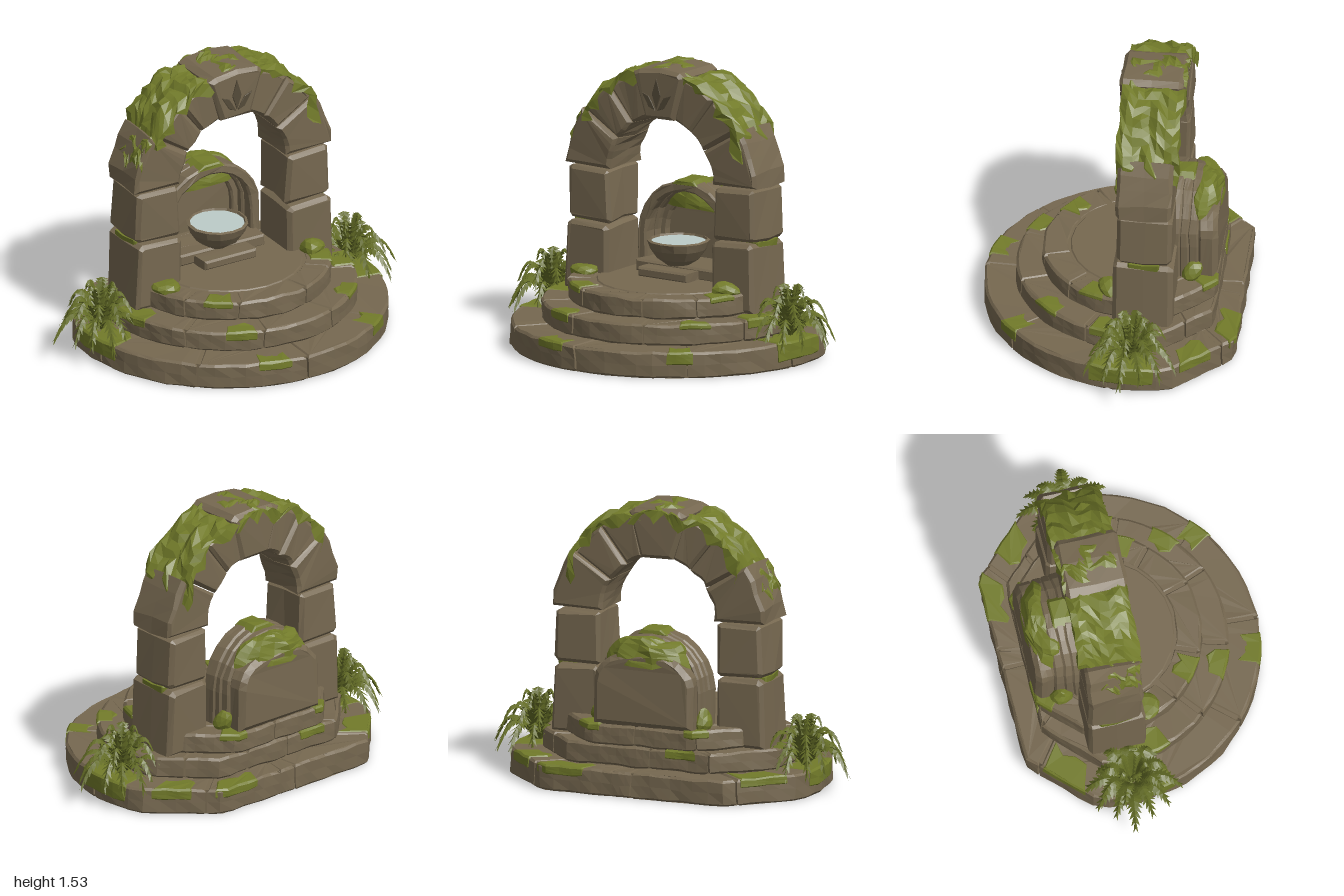
import * as THREE from 'three';

const mat = (name, color, side = THREE.FrontSide) => {
  const m = new THREE.MeshStandardMaterial({ color, side });
  m.name = name;
  return m;
};
const rad = THREE.MathUtils.degToRad;

// Smooth repeatable noise, about -1..1
const noise = (x, y, z) => Math.sin(x * 23.1 + y * 11.7 + 1.3) * Math.sin(y * 19.3 - z * 17.9 + 0.7) +
  0.5 * Math.sin(x * 41 + z * 37 + y * 29);

// Push vertices about by a rule of position, then facet
function weather(geo, amount) {
  const g = geo.index ? geo.toNonIndexed() : geo;
  const p = g.attributes.position;
  for (let i = 0; i < p.count; i++) {
    const x = p.getX(i), y = p.getY(i), z = p.getZ(i);
    p.setXYZ(i, x + amount * noise(x, y, z), Math.max(0, y + amount * noise(y, z, x)), z + amount * noise(z, x, y));
  }
  g.computeVertexNormals();
  return g;
}

// Bevelled slab: outline in x,y, reaching from z0 to z1
function slab(points, z0, z1, bevel = 0.014, hole = null) {
  const shape = new THREE.Shape(points.map(([x, y]) => new THREE.Vector2(x, y)));
  if (hole) shape.holes.push(new THREE.Path(hole.map(([x, y]) => new THREE.Vector2(x, y))));
  const g = new THREE.ExtrudeGeometry(shape, {
    depth: z1 - z0 - 2 * bevel, steps: 2, bevelEnabled: bevel > 0, bevelThickness: bevel,
    bevelSize: bevel, bevelOffset: -bevel, bevelSegments: 1,
  });
  return g.translate(0, 0, z0 + bevel);
}
const upright = (geo) => geo.rotateX(-Math.PI / 2);

// Stepped platform: round in front, cut flat at the back with cut corners
const CX = 0.027, CZ = -0.17;
const TIERS = [
  { R: 0.862, back: 0.52, cut: 0.735, y0: 0, y1: 0.14, k: 0.74, joints: [-78, -38, 8, 50, 92, 132, 172, 218, 270, 282] },
  { R: 0.695, back: 0.4, cut: 0.575, y0: 0.14, y1: 0.252, k: 0.72, joints: [-60, -25, 22, 68, 105, 140, 180, 225, 262, 300] },
  { R: 0.555, back: 0.4, cut: 0.5, y0: 0.252, y1: 0.36, k: 0.74, joints: [-50, 0, 42, 72, 115, 145, 185, 230, 275, 310] },
];
function rim(t, a, off = 0, k = 1) {
  const c = Math.cos(a), s = Math.sin(a);
  let r = t.R + off;
  if (s < 0) {
    r = Math.min(r, (t.back + off) / -s, (t.cut + off) / ((Math.abs(c) - s) * Math.SQRT1_2));
  }
  return [CX + c * r * k, -(CZ + s * r * k)];
}
function sector(t, d0, d1, k, y0, y1, off, bevel, ragged = 0) {
  const n = Math.max(3, Math.ceil((d1 - d0) / 6)), outer = [], inner = [];
  for (let i = 0; i <= n; i++) {
    const a = rad(d0 + (d1 - d0) * i / n);
    outer.push(rim(t, a, off));
    inner.unshift(rim(t, a, off, k + ragged * Math.sin(i * 2.6 + d0)));
  }
  return upright(slab([...outer, ...inner], y0, y1, bevel));
}

// Moss blanket over the arch's outer face, spilling over both edges
function mossBlanket(a0, a1, R, thick, zc, half) {
  const g = new THREE.PlaneGeometry(1, 1, 12, 10), p = g.attributes.position;
  for (let i = 0; i < p.count; i++) {
    const u = p.getX(i) + 0.5, s = p.getY(i) * 2;
    const a = rad(a0 + (a1 - a0) * u) + 0.06 * Math.sin(s * 7 + u * 3);
    const spill = Math.max(0, Math.abs(s) - 0.75) * 4;
    const swell = Math.min(1, 5 * Math.min(u, 1 - u));
    const r = R - 0.012 + thick * swell * (0.65 + 0.35 * noise(u * 1.1, s * 0.5, a)) -
      spill * (0.05 + 0.03 * Math.sin(u * 19));
    p.setXYZ(i, ARCH_X + Math.cos(a) * r, ARCH_Y + Math.sin(a) * r,
      zc + Math.max(-1, Math.min(1, s * 1.3)) * half);
  }
  return weather(g, 0.009);
}
const ARCH_X = 0.015, ARCH_Y = 0.92;

// Fern made of arching fronds with paired leaflets
function fernGeometry(seed) {
  const v = [];
  const frond = (ang, reach, rise, droop, width) => {
    const dir = new THREE.Vector3(Math.cos(ang), 0, Math.sin(ang));
    const side = new THREE.Vector3(-dir.z, 0, dir.x);
    const at = (t) => dir.clone().multiplyScalar(0.015 + reach * t).setY(rise * Math.sin(t * 2.1) - droop * t * t * t);
    const pairs = 11;
    for (let i = 1; i <= pairs; i++) {
      const t = i / pairs, a = at(t - 0.09), b = at(t + 0.04);
      const w = width * Math.sin(0.35 + t * 2.5);
      for (const sgn of [-1, 1]) {
        const tip = at(t + 0.09).addScaledVector(side, sgn * w).add(new THREE.Vector3(0, -w * 0.35, 0));
        const mid = a.clone().lerp(tip, 0.55).addScaledVector(dir, -0.008);
        const tris = sgn > 0 ? [a, mid, b, mid, tip, b] : [a, b, mid, mid, b, tip];
        tris.forEach((q) => v.push(q.x, q.y, q.z));
      }
    }
  };
  for (let i = 0; i < 13; i++) frond(i * Math.PI * 2 / 13 + seed, 0.21 + 0.03 * Math.sin(i * 2.3 + seed), 0.15, 0.12, 0.046);
  for (let i = 0; i < 9; i++) frond(i * Math.PI * 2 / 9 + seed * 2, 0.16 + 0.02 * Math.sin(i * 3), 0.22, 0.07, 0.042);
  for (let i = 0; i < 5; i++) frond(i * Math.PI * 2 / 5 + seed, 0.07, 0.27, 0, 0.036);
  const g = new THREE.BufferGeometry();
  g.setAttribute('position', new THREE.Float32BufferAttribute(v, 3));
  g.computeVertexNormals();
  return g;
}

export function createModel() {
  const model = new THREE.Group();
  const stone = mat('stone', 0x766850), carved = mat('carvedStone', 0x544a38);
  const moss = mat('moss', 0x727b2a, THREE.DoubleSide), leaf = mat('fernLeaf', 0x626b25, THREE.DoubleSide);
  const water = mat('water', 0xbccbc8);
  const add = (name, geo, material, parent = model) => {
    const m = new THREE.Mesh(geo, material);
    m.name = name;
    parent.add(m);
    return m;
  };

  // Tiers: solid core plus a ring of separate stones
  TIERS.forEach((t, i) => {
    const tier = new THREE.Group();
    tier.name = 'step' + (i + 1);
    model.add(tier);
    const ring = Array.from({ length: 72 }, (_, j) => rim(t, rad(j * 5), -0.018));
    add('stepCore', upright(slab(ring, t.y0, t.y1 - 0.006, 0)), stone, tier);
    t.joints.forEach((d, j) => {
      const end = j + 1 < t.joints.length ? t.joints[j + 1] : t.joints[0] + 360;
      add('stepStone', weather(sector(t, d + 0.4, end - 0.4, t.k, t.y0, t.y1, 0, 0.012), 0.004), stone, tier);
    });
  });

  // Moss on the steps: tier, start and end angle, inner ratio, depth down the side
  [[0, 352, 375, 0.8, 0.1], [0, 48, 57, 0.86, 0.07], [0, 98, 110, 0.88, 0.05], [0, 165, 187, 0.8, 0.09],
    [0, 198, 216, 0.8, 0.05], [0, 298, 318, 0.8, 0.05], [0, 328, 342, 0.82, 0.06], [1, 38, 52, 0.86, 0.03],
    [1, 108, 122, 0.86, 0.05], [1, 5, 20, 0.82, 0.05], [1, 160, 178, 0.82, 0.05], [1, 232, 250, 0.8, 0.05],
    [2, 118, 134, 0.8, 0.04], [2, 20, 34, 0.78, 0.03], [2, 300, 318, 0.75, 0.04], [2, 222, 238, 0.75, 0.04],
  ].forEach(([i, d0, d1, k, h]) => {
    const t = TIERS[i];
    add('stepMoss', weather(sector(t, d0, d1, k, t.y1 - h, t.y1 + 0.005, 0.005, 0.01, 0.035), 0.004), moss);
  });

  // Pillars
  for (const s of [-1, 1]) {
    const at = (x, y) => [ARCH_X + s * x, y];
    add('pillarLower', weather(slab([at(0.335, 0.25), at(0.615, 0.25), at(0.6, 0.6), at(0.575, 0.618), at(0.36, 0.618), at(0.337, 0.6)], -0.365, -0.05, 0.02), 0.006), stone);
    add('pillarUpper', weather(slab([at(0.335, 0.64), at(0.35, 0.628), at(0.585, 0.628), at(0.605, 0.65), at(0.592, 0.9), at(0.575, 0.91), at(0.355, 0.91), at(0.342, 0.9)], -0.36, -0.07, 0.02), 0.006), stone);
    add('pillarMoss', weather(slab([at(0.47, 0.6), at(0.597, 0.585), at(0.6, 0.63), at(0.48, 0.632)], -0.3, -0.12, 0.008), 0.006), moss);
    // Mossy rubble at the pillar foot
    const lump = new THREE.IcosahedronGeometry(0.08, 1).scale(1, 0.5, 0.9).translate(ARCH_X + s * 0.46, 0.37, -0.02);
    add('footMoss', weather(lump, 0.012), moss);

    // Arch stones
    const cuts = [0, 32, 54, 76];
    for (let i = 0; i < 3; i++) {
      const pts = [], n = 4, R = i ? 0.565 : 0.6;
      const polar = (r, d) => at(r * Math.cos(rad(d)), ARCH_Y + r * Math.sin(rad(d)));
      const a = cuts[i] + 0.4, b = cuts[i + 1] - 0.4;
      for (let j = 0; j <= n; j++) pts.push(polar(R + (i || j > 1 ? 0 : 0.012), a + (b - a) * j / n));
      for (let j = n; j >= 0; j--) pts.push(polar(0.325, a + (b - a) * j / n));
      add('archStone', weather(slab(pts, -0.36, -0.065, 0.018), 0.006), stone);
    }
  }
  add('archMossLeft', mossBlanket(17, 78, 0.575, 0.05, -0.22, 0.165), moss);
  add('archMossRight', mossBlanket(102, 152, 0.572, 0.045, -0.22, 0.165), moss);
  add('archMossPatch', mossBlanket(150, 170, 0.6, 0.02, -0.18, 0.11), moss);

  // Keystone with carved leaves and a moss cap
  add('keystone', weather(slab([[-0.075, 1.235], [0.11, 1.235], [0.18, 1.475], [0.15, 1.5], [0.03, 1.51], [-0.11, 1.497], [-0.15, 1.475]], -0.375, -0.038, 0.02), 0.004), stone);
  add('keystoneMoss', mossBlanket(74.5, 105.5, 0.585, 0.022, -0.225, 0.162), moss);
  const leaves = [
    [[0.012, 1.29], [0.04, 1.37], [0.012, 1.46], [-0.016, 1.37]],
    [[0.018, 1.285], [0.06, 1.3], [0.105, 1.375], [0.062, 1.36], [0.042, 1.33]],
    [[0.006, 1.285], [-0.036, 1.3], [-0.081, 1.375], [-0.038, 1.36], [-0.018, 1.33]],
  ];
  leaves.forEach((pts) => add('carvedLeaf', slab(pts, -0.039, -0.031, 0.002), carved));

  // Alcove: arched shell whose recess narrows toward a solid back
  const arched = (hw, y0, spring, r) => {
    const pts = [[ARCH_X - hw, y0], [ARCH_X + hw, y0]];
    for (let i = 0; i <= 12; i++) pts.push([ARCH_X + hw * Math.cos(i * Math.PI / 12), spring + r * Math.sin(i * Math.PI / 12)]);
    return pts;
  };
  [[0.305, 0.25, -0.375, -0.29], [0.3, 0.238, -0.42, -0.37], [0.294, 0.205, -0.47, -0.415]].forEach(([o, h, z0, z1]) =>
    add('alcoveShell', weather(slab(arched(o, 0.355, 0.55, o), z0, z1, 0.01, arched(h, 0.42, 0.55, h)), 0.004), stone));
  add('alcoveBack', weather(slab([...arched(0.285, 0.355, 0.6, 0.17)], -0.57, -0.45, 0.03), 0.006), stone);
  const drape = new THREE.SphereGeometry(1, 14, 8, 0, Math.PI * 2, 0, Math.PI / 2)
    .scale(0.245, 0.15, 0.11).translate(ARCH_X, 0.69, -0.475);
  add('alcoveMoss', weather(drape, 0.014), moss);
  add('alcoveTopMoss', weather(slab([[-0.07, 0.835], [0.1, 0.835], [0.07, 0.865], [-0.03, 0.865]], -0.43, -0.286, 0.008), 0.004), moss);
  for (const s of [-1, 1]) {
    const clump = new THREE.IcosahedronGeometry(0.065, 1).scale(0.8, 1.1, 0.8).translate(ARCH_X + s * 0.3, 0.4, -0.44);
    add('alcoveFootMoss', weather(clump, 0.012), moss);
  }

  // Inner floor, plinth and water bowl
  const floor = Array.from({ length: 24 }, (_, j) => rim(TIERS[2], rad(j * 15), 0, 0.735));
  add('innerFloor', upright(slab(floor, 0.3, 0.36, 0.006)), stone);
  add('sill', weather(slab([[-0.24, 0.355], [0.29, 0.355], [0.29, 0.42], [-0.24, 0.42]], -0.43, -0.2, 0.01), 0.003), stone);
  add('plinth', weather(slab([[-0.15, 0.355], [0.17, 0.355], [0.17, 0.408], [-0.15, 0.408]], -0.24, -0.09, 0.01), 0.003), stone);
  const profile = [[0, 0.415], [0.06, 0.418], [0.115, 0.455], [0.15, 0.505], [0.167, 0.55], [0.152, 0.556], [0.143, 0.535]];
  const bowl = new THREE.LatheGeometry(profile.map(([x, y]) => new THREE.Vector2(x, y)), 14).translate(ARCH_X, 0, -0.235);
  add('bowl', weather(bowl, 0.002), stone);
  add('waterSurface', upright(new THREE.CircleGeometry(0.15, 14)).translate(ARCH_X, 0.545, -0.235), water);

  // Ferns
  for (const [x, z, seed] of [[-0.755, -0.17, 0.4], [0.785, -0.16, 1.1]]) {
    add('fern', fernGeometry(seed), leaf).position.set(x, 0.145, z);
  }
  return model;
}
